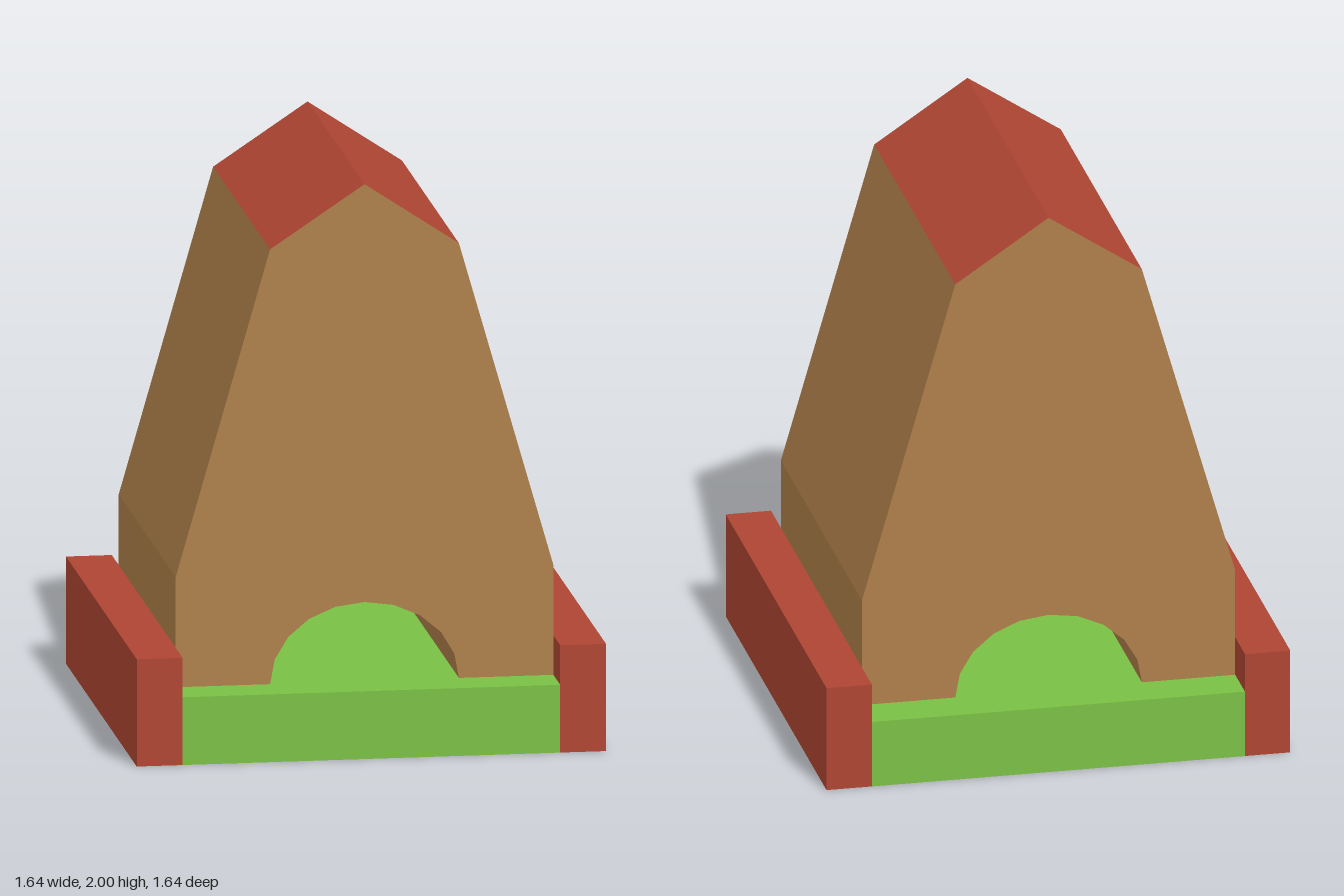
import * as THREE from 'three';

const material = (color) => new THREE.MeshStandardMaterial({ color, flatShading: true });

export function createModel() {
  const model = new THREE.Group();
  const brown = material(0xae7f4a);
  const red = material(0xaf4533);
  const green = material(0x7abf45);

  const HALF = 0.82;   // half width of the whole base
  const INNER = 0.66;  // half width of the lawn and the house
  const LAWN = 0.24;   // lawn height
  const EAVES = [0.33, 1.78];

  const add = (name, geometry, mat, x = 0, y = 0, z = 0) => {
    const mesh = new THREE.Mesh(geometry, mat);
    mesh.name = name;
    mesh.position.set(x, y, z);
    model.add(mesh);
  };
  const extrude = (shape) =>
    new THREE.ExtrudeGeometry(shape, { depth: 2 * INNER, bevelEnabled: false });

  // Green lawn slab with a red underside
  add('lawn', new THREE.BoxGeometry(2 * INNER, LAWN, 2 * HALF),
    [green, green, green, red, green, green], 0, LAWN / 2);

  // Red rails along both sides
  for (const [name, side] of [['leftRail', 1], ['rightRail', -1]]) {
    add(name, new THREE.BoxGeometry(HALF - INNER, 0.38, 2 * HALF), red,
      side * (HALF + INNER) / 2, 0.19);
  }

  // Tapered house body with an arched tunnel from front to back
  const body = new THREE.Shape();
  body.moveTo(INNER, LAWN);
  body.lineTo(INNER, 0.63);
  body.lineTo(...EAVES);
  body.lineTo(-EAVES[0], EAVES[1]);
  body.lineTo(-INNER, 0.63);
  body.lineTo(-INNER, LAWN);
  for (let i = 0; i <= 10; i++) {
    const a = Math.PI * (1 - i / 10);
    body.lineTo(0.33 * Math.cos(a), LAWN + 0.28 * Math.sin(a));
  }
  add('houseBody', extrude(body), brown, 0, 0, -INNER);

  // Gable roof: brown end walls, red slopes
  const gable = new THREE.Shape();
  gable.moveTo(-EAVES[0], EAVES[1]);
  gable.lineTo(...EAVES);
  gable.lineTo(0, 2);
  add('roof', extrude(gable), [brown, red], 0, 0, -INNER);

  return model;
}
